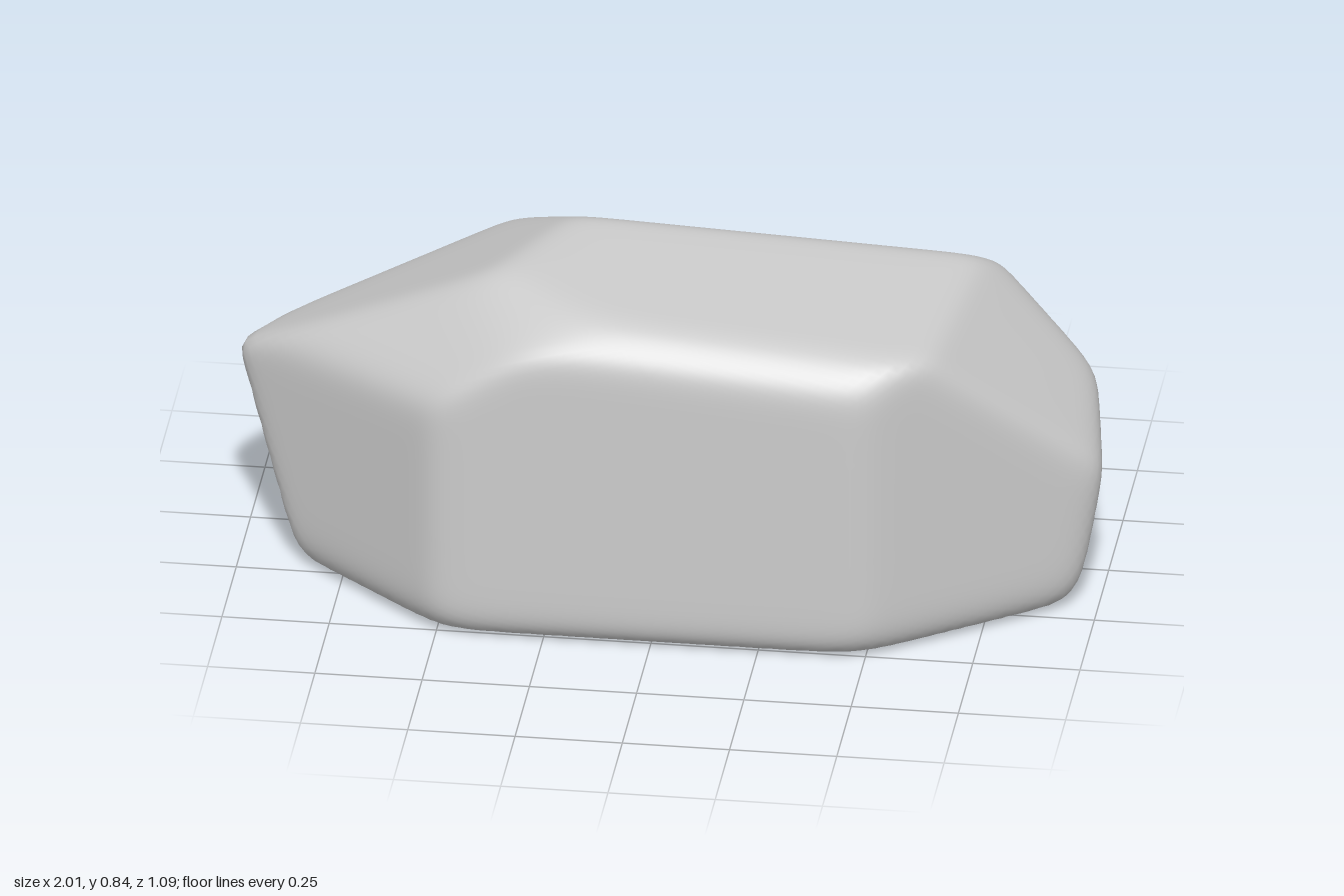
import * as THREE from 'three';
import { mergeVertices } from 'three/addons/utils/BufferGeometryUtils.js';

// Facets of the boulder: outward direction, then a point on the facet
const FACETS = [
  [[0, -1, 0], [0, 0, 0]],                        // underside
  [[0, 0, 1], [0, 0.3, 0.55]],                    // front
  [[0.06, 0.7, 0.7], [0, 0.75, 0.535]],           // front top edge
  [[0, -0.7, 0.7], [0, 0.02, 0.53]],              // front bottom edge
  [[-0.08, 0.33, -1], [0.05, 0.06, -0.553]],      // back, -x half
  [[0.08, 0.33, -1], [0.05, 0.06, -0.553]],       // back, +x half
  [[0, -0.8, -0.6], [0, 0.02, -0.53]],            // back bottom edge
  [[0.03, 0.85, -0.52], [0, 0.735, -0.165]],      // upper back slope
  [[0.085, 1, 0.04], [-0.3, 0.845, 0.2]],         // top
  [[-0.2, 0.85, 0.4], [-0.35, 0.8, 0.42]],        // bevel above the front
  [[-0.4, 0.88, -0.2], [-0.68, 0.685, 0.17]],     // upper slope, -x end
  [[-0.45, 0.75, -0.48], [-0.62, 0.49, -0.39]],   // upper back corner, -x end
  [[-0.65, 0, 0.76], [-0.78, 0.3, 0.31]],         // front corner, -x end
  [[-0.5, 0.7, 0.5], [-0.75, 0.61, 0.3]],         // front corner top edge, -x end
  [[-0.45, -0.7, 0.53], [-0.765, 0.02, 0.295]],   // front corner bottom edge, -x end
  [[-0.236, -0.119, -0.147], [-1.025, 0.5, 0.08]], // overhang, -x end
  [[-0.45, -0.1, -0.85], [-0.5, 0.2, -0.473]],    // lower back corner, -x end
  [[0.58, 0, 0.81], [0.77, 0.3, 0.355]],          // front corner, +x end
  [[0.41, -0.7, 0.57], [0.757, 0.02, 0.34]],      // front corner bottom edge, +x end
  [[0.92, -0.18, -0.22], [1.005, 0.38, 0.08]],    // end face, +x end
  [[0.67, -0.7, -0.16], [0.91, 0.02, 0]],         // end face bottom edge, +x end
  [[0.75, 0.67, 0.1], [0.85, 0.56, 0.1]],         // upper slope, +x end
  [[0.6, 0.5, -0.55], [0.77, 0.52, -0.29]],       // upper back corner, +x end
  [[0.65, 0.1, -0.75], [0.8, 0.2, -0.4]],         // lower back corner, +x end
];
const CENTRE = new THREE.Vector3(0, 0.38, 0.02);
const SHARPNESS = 40; // higher gives tighter edges

export function createModel() {
  // Each facet as a direction divided by its distance from the centre
  const planes = FACETS.map(([n, p]) => {
    const normal = new THREE.Vector3(...n).normalize();
    const reach = new THREE.Vector3(...p).sub(CENTRE).dot(normal);
    return normal.divideScalar(reach);
  });

  // Push a fine sphere out to the facets, blending softly where they meet
  let geometry = new THREE.IcosahedronGeometry(1, 47);
  geometry.deleteAttribute('uv');
  geometry.deleteAttribute('normal');
  geometry = mergeVertices(geometry, 1e-5);
  const pos = geometry.attributes.position;
  const v = new THREE.Vector3();
  for (let i = 0; i < pos.count; i++) {
    v.fromBufferAttribute(pos, i).normalize();
    let sum = 0;
    for (const plane of planes) sum += Math.max(0, plane.dot(v)) ** SHARPNESS;
    v.multiplyScalar(sum ** (-1 / SHARPNESS)).add(CENTRE);
    pos.setXYZ(i, v.x, v.y, v.z);
  }
  geometry.computeVertexNormals();

  const boulder = new THREE.Mesh(geometry, new THREE.MeshStandardMaterial({ color: 0xcccccc }));
  boulder.name = 'boulder';
  const group = new THREE.Group();
  group.name = 'rock';
  group.add(boulder);
  return group;
}
